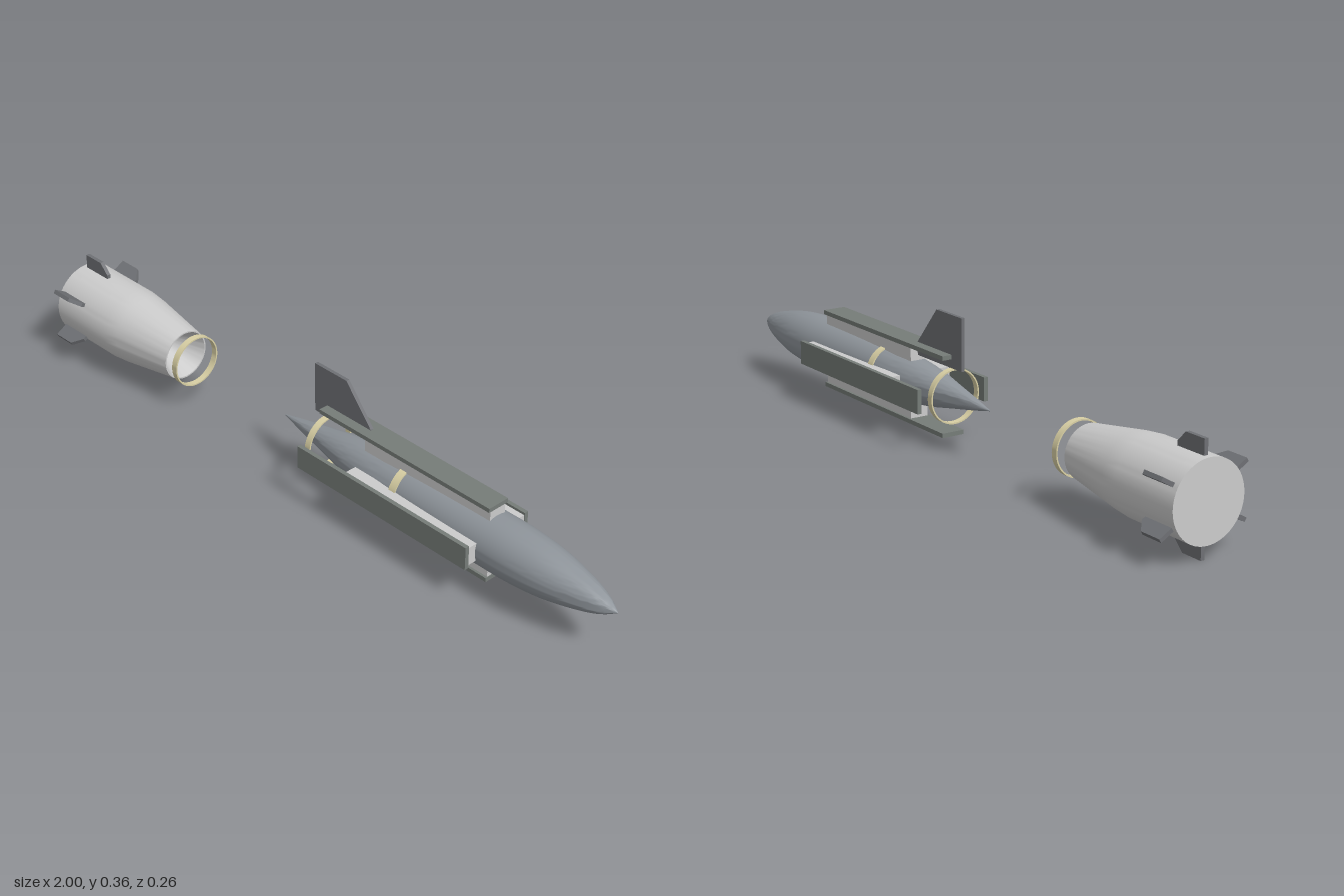
import * as THREE from 'three';
import { toCreasedNormals } from 'three/addons/utils/BufferGeometryUtils.js';

const paint = (color) => new THREE.MeshStandardMaterial({ color });
const hullPaint = paint(0x8e949a);
const boosterPaint = paint(0xcccccc);
const finPaint = paint(0x6e7074);
const railPaint = paint(0x767c78);
const bandPaint = paint(0xd8cfa4);

function part(name, geometry, material) {
  const mesh = new THREE.Mesh(geometry, material);
  mesh.name = name;
  return mesh;
}

// Solid of revolution about the x axis from [x, radius] pairs
function turned(name, profile, material, crease = 0.35) {
  const pts = profile.map(([x, r]) => new THREE.Vector2(r, x));
  const geometry = new THREE.LatheGeometry(pts, 64).rotateZ(-Math.PI / 2);
  return part(name, toCreasedNormals(geometry, crease), material);
}

// Thin plate from [x, radius] corners, centred on z = 0
function fin(name, corners, thickness) {
  const shape = new THREE.Shape(corners.map(([x, y]) => new THREE.Vector2(x, y)));
  const geometry = new THREE.ExtrudeGeometry(shape, { depth: thickness, bevelEnabled: false });
  return part(name, geometry.translate(0, 0, -thickness / 2), finPaint);
}

// Flat band with a small wall thickness
function band(name, x, r, width = 0.018) {
  const a = x - width / 2, b = x + width / 2, inner = r - 0.004;
  return turned(name, [[a, inner], [a, r], [b, r], [b, inner], [a, inner]], bandPaint);
}

function box(name, x0, x1, y0, y1, depth, material) {
  const geometry = new THREE.BoxGeometry(x1 - x0, y1 - y0, depth);
  return part(name, geometry.translate((x0 + x1) / 2, (y0 + y1) / 2, 0), material);
}

export function createModel() {
  const model = new THREE.Group();
  model.name = 'stagedMissile';
  model.position.y = 0.145;

  // Spindle-shaped hull, smooth from tail tip to nose
  const curve = new THREE.SplineCurve([
    [-0.15, 0.001], [-0.08, 0.016], [0.01, 0.033], [0.1, 0.05], [0.2, 0.062], [0.32, 0.069],
    [0.45, 0.073], [0.6, 0.075], [0.7, 0.074], [0.8, 0.065], [0.9, 0.044], [0.96, 0.024], [1, 0.001],
  ].map(([x, r]) => new THREE.Vector2(x, r)));
  const hullProfile = curve.getPoints(48).map((p) => [p.x, Math.max(p.y, 0)]);
  model.add(turned('hull', hullProfile, hullPaint, 0.6));

  // Upright tail fin
  model.add(fin('tailFin', [
    [-0.028, 0.075], [0.178, 0.075], [0.178, 0.112], [0.088, 0.218], [-0.028, 0.218],
  ], 0.01));

  // Four long rails, each on a block against the hull
  for (let i = 0; i < 4; i++) {
    const rail = new THREE.Group();
    rail.name = 'railAssembly';
    rail.add(box('rail', 0.018, 0.615, 0.099, 0.111, 0.066, railPaint));
    rail.add(box('railBlock', 0.18, 0.613, 0.06, 0.1, 0.052, boosterPaint));
    rail.rotation.x = i * Math.PI / 2;
    model.add(rail);
  }

  // Bands round the hull and the loose coupling ring
  model.add(band('tailBand', 0.016, 0.075));
  model.add(band('middleBand', 0.318, 0.073, 0.022));
  model.add(band('couplingRing', -0.521, 0.074));

  // Separated booster with a conical socket in its front end
  const booster = new THREE.Group();
  booster.name = 'booster';
  booster.add(turned('boosterShell', [
    [-1, 0], [-1, 0.105], [-0.79, 0.105], [-0.74, 0.1], [-0.56, 0.072],
    [-0.56, 0.068], [-0.73, 0],
  ], boosterPaint));
  for (let i = 0; i < 6; i++) {
    const boosterFin = fin('boosterFin', [
      [-0.985, 0.098], [-0.892, 0.098], [-0.892, 0.116], [-0.92, 0.145], [-0.985, 0.145],
    ], 0.011);
    boosterFin.rotation.x = i * Math.PI / 3;
    booster.add(boosterFin);
  }
  model.add(booster);

  const root = new THREE.Group();
  root.add(model);
  return root;
}
